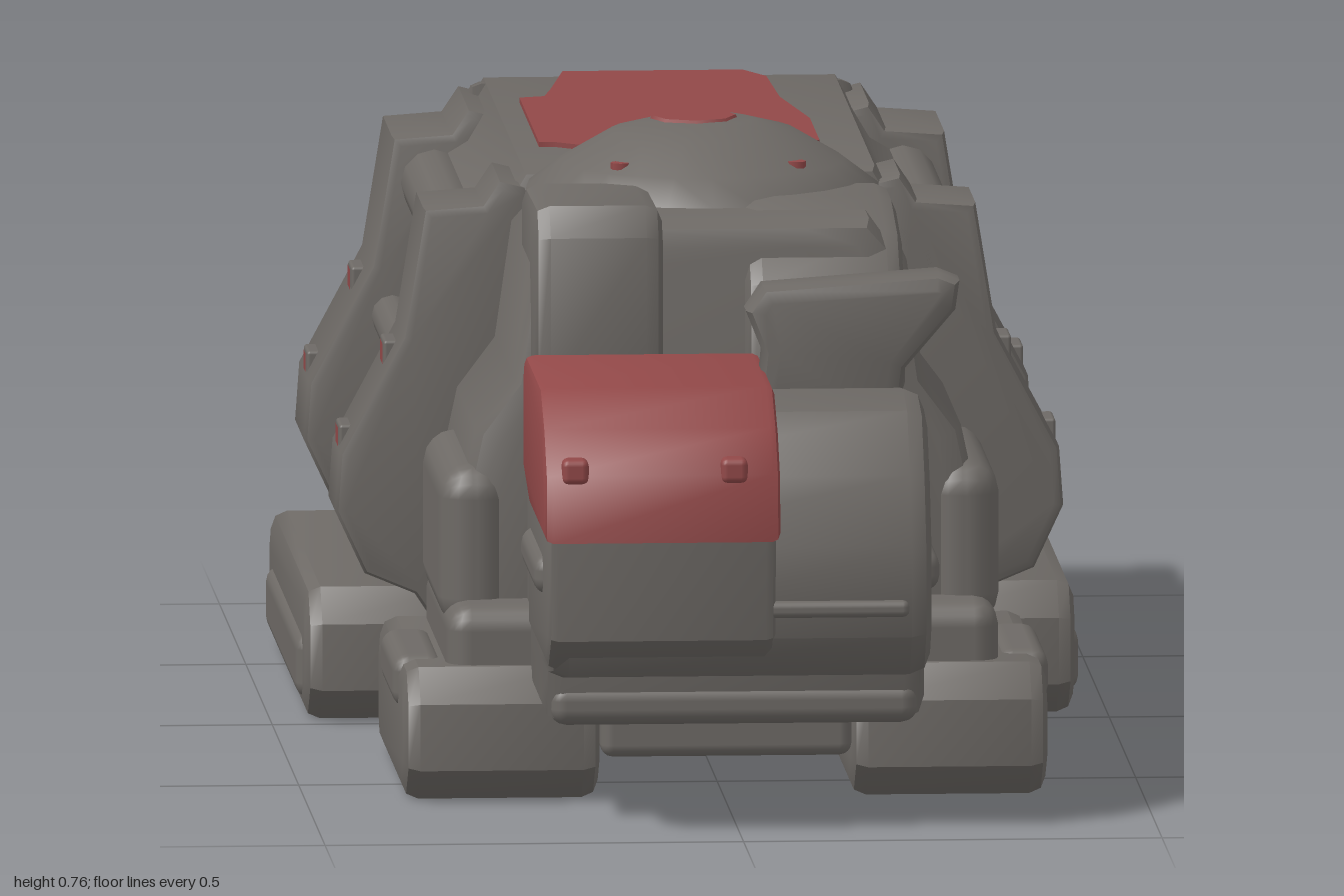
import * as THREE from 'three';
import { toCreasedNormals } from 'three/addons/utils/BufferGeometryUtils.js';
import { RoundedBoxGeometry } from 'three/addons/geometries/RoundedBoxGeometry.js';

const grey = new THREE.MeshStandardMaterial({ color: 0x6d6965 });
grey.name = 'hull grey';
const red = new THREE.MeshStandardMaterial({ color: 0x914848 });
red.name = 'panel red';

// Bevelled extrusion of a point list, from 0 to depth
function prism(points, depth, bevel) {
  const shape = new THREE.Shape(points.map(([a, b]) => new THREE.Vector2(a, b)));
  const g = new THREE.ExtrudeGeometry(shape, {
    depth: depth - 2 * bevel, bevelEnabled: bevel > 0, bevelThickness: bevel,
    bevelSize: bevel, bevelOffset: -bevel, bevelSegments: 2,
  });
  return toCreasedNormals(g.translate(0, 0, bevel), 0.75);
}
// (x, y) section running from z0 to z1
const alongZ = (pts, z0, z1, bevel = 0.02) => prism(pts, z1 - z0, bevel).translate(0, 0, z0);
// (z, y) profile running from x0 to x1
const alongX = (pts, x0, x1, bevel = 0.02) =>
  prism(pts, x1 - x0, bevel).rotateY(-Math.PI / 2).translate(x1, 0, 0);
// Half section mirrored into a closed outline
const mirrored = (half) => [...half, ...half.slice().reverse().map(([x, y]) => [-x, y])];
const lathe = (pts, sides) => new THREE.LatheGeometry(pts.map(([r, y]) => new THREE.Vector2(r, y)), sides);

export function createModel() {
  const model = new THREE.Group();
  model.name = 'crawler';
  const add = (name, geometry, material = grey) => {
    const m = new THREE.Mesh(geometry, material);
    m.name = name;
    model.add(m);
    return m;
  };
  const box = (name, x0, x1, y0, y1, z0, z1, material = grey, r = 0.015) => {
    const radius = Math.min(r, (x1 - x0) / 2.1, (y1 - y0) / 2.1, (z1 - z0) / 2.1);
    const m = add(name, new RoundedBoxGeometry(x1 - x0, y1 - y0, z1 - z0, 2, radius), material);
    m.position.set((x0 + x1) / 2, (y0 + y1) / 2, (z0 + z1) / 2);
    return m;
  };

  // Main hull with ribbed sides
  add('mainHull', alongZ(mirrored([
    [0.12, 0.7], [0.21, 0.7], [0.24, 0.65], [0.29, 0.62], [0.3, 0.57], [0.26, 0.54], [0.26, 0.49],
    [0.32, 0.45], [0.34, 0.38], [0.34, 0.3], [0.3, 0.2], [0.2, 0.12],
  ]), -0.62, 0.17));
  // Front hull
  add('frontHull', alongZ(mirrored([
    [0.1, 0.69], [0.18, 0.69], [0.225, 0.64], [0.245, 0.5], [0.29, 0.44], [0.32, 0.3],
    [0.32, 0.18], [0.26, 0.1], [0.13, 0.065],
  ]), 0.14, 0.55, 0.03));
  add('frontBlockRight', alongX([[0.35, 0.5], [0.6, 0.5], [0.6, 0.68], [0.57, 0.715], [0.35, 0.71]], -0.225, -0.07));
  add('frontBlockLeft', alongX([[0.3, 0.48], [0.59, 0.48], [0.58, 0.62], [0.52, 0.675], [0.4, 0.7], [0.3, 0.7]], 0.03, 0.22));
  box('chin', -0.15, 0.15, 0.065, 0.2, 0.5, 0.68);

  // Rear hull: ribbed upper part and a belly that rises at the tail
  add('rearHull', alongZ(mirrored([
    [0.1, 0.605], [0.2, 0.6], [0.255, 0.57], [0.275, 0.52], [0.26, 0.49], [0.285, 0.46], [0.29, 0.4],
    [0.26, 0.37], [0.285, 0.33], [0.27, 0.25], [0.22, 0.22],
  ]), -0.965, -0.55, 0.025));
  add('rearBelly', alongX([[-0.5, 0.3], [-0.5, 0.11], [-0.86, 0.11], [-0.9, 0.16], [-0.92, 0.23], [-0.95, 0.3]],
    -0.25, 0.25, 0.04));
  add('rearRoofSlope', alongX([[-0.55, 0.5], [-0.55, 0.7], [-0.6, 0.695], [-0.7, 0.61], [-0.7, 0.5]], -0.23, 0.23, 0.015));
  // Tail nozzles with open centres
  const nozzle = [[0.115, -0.07], [0.112, 0.025], [0.09, 0.055], [0.06, 0.05], [0.045, -0.02], [0, -0.02]];
  for (const s of [-1, 1]) {
    add('tailNozzle', lathe(nozzle, 20).rotateX(-Math.PI / 2)).position.set(s * 0.178, 0.375, -0.945);
    box('tailRib', s * 0.235 - 0.03, s * 0.235 + 0.03, 0.5, 0.59, -0.98, -0.62, grey, 0.025);
  }

  // Dome with hatch and rivets
  add('dome', lathe([[0.215, 0.66], [0.21, 0.69], [0.17, 0.72], [0.11, 0.755], [0.06, 0.768], [0, 0.77]], 24))
    .position.z = 0.22;
  add('domeHatch', new THREE.CylinderGeometry(0.05, 0.052, 0.004, 8), red).position.set(-0.01, 0.77, 0.215);
  for (const sx of [-1, 1]) for (const sz of [-1, 1]) {
    add('domeRivet', new THREE.CylinderGeometry(0.012, 0.012, 0.008, 8), red)
      .position.set(sx * 0.105, 0.728, 0.22 + sz * 0.11);
  }

  // Red roof panel, tapering and sloping down at the rear
  add('roofPanel', prism([[-0.16, 0.02], [-0.12, -0.015], [0.11, -0.015], [0.155, 0.02], [0.155, 0.2], [0.13, 0.38],
    [0.125, 0.55], [0.1, 0.605], [-0.115, 0.605], [-0.14, 0.45], [-0.15, 0.4], [-0.18, 0.39], [-0.18, 0.02]],
  0.008, 0).rotateX(-Math.PI / 2).translate(0, 0.698, 0), red);
  const slope = box('roofPanelSlope', -0.115, 0.095, 0, 0.008, -0.06, 0.06, red, 0.003);
  slope.rotation.x = -0.71;
  slope.position.set(-0.01, 0.661, -0.642);

  // Side brackets with boxed lamps facing outward
  const bracket = [[0.2, 0.68], [0.24, 0.69], [0.26, 0.66], [0.33, 0.655], [0.355, 0.5], [0.43, 0.36],
    [0.435, 0.29], [0.4, 0.215], [0.34, 0.19], [0.3, 0.13], [0.2, 0.13]];
  for (const s of [-1, 1]) {
    for (const [z0, z1] of [[0.02, 0.17], [-0.61, -0.42]]) {
      add('sideBracket', alongZ(bracket.map(([x, y]) => [s * x, y]), z0, z1, 0.012));
      const z = (z0 + z1) / 2;
      for (const [x, y] of [[0.375, 0.468], [0.428, 0.367]]) {
        box('lampHousing', s * x - 0.02 - s * 0.02, s * x + 0.02 - s * 0.02, y - 0.022, y + 0.022, z - 0.032, z + 0.032, grey, 0.004);
        add('bracketLamp', new THREE.PlaneGeometry(0.045, 0.035).rotateY(s * Math.PI / 2), red)
          .position.set(s * (x + 0.001), y, z);
      }
    }
    // Pipes between the brackets
    for (const [x, y, r] of [[0.28, 0.6, 0.04], [0.33, 0.44, 0.025], [0.345, 0.33, 0.03]]) {
      const pipe = add('sidePipe', new THREE.CylinderGeometry(r, r, 0.46, 12).rotateX(Math.PI / 2));
      pipe.position.set(s * x, y, -0.2);
    }
  }

  // Track units
  const track = (a, b) => [[a, 0.05], [a, 0.13], [a - 0.04, 0.17], [b + 0.04, 0.17], [b, 0.13],
    [b, 0.04], [b + 0.03, 0.01], [a - 0.05, 0.01]];
  for (const s of [-1, 1]) {
    const span = (x0, x1) => (s > 0 ? [x0, x1] : [-x1, -x0]);
    add('rearTrack', alongX(track(0.0, -0.71), ...span(0.25, 0.46)));
    add('frontTrack', alongX(track(0.67, 0.17), ...span(0.15, 0.385)));
    box('rearTrackGuard', ...span(0.42, 0.468), 0.03, 0.11, -0.65, -0.06, grey, 0.02);
    box('frontTrackGuard', ...span(0.33, 0.392), 0.11, 0.175, 0.33, 0.57, grey, 0.02);
    box('rearTrackMount', ...span(0.2, 0.36), 0.12, 0.24, -0.62, -0.05, grey, 0.03);
    box('frontTrackMount', ...span(0.18, 0.33), 0.12, 0.24, 0.2, 0.62, grey, 0.03);
    box('sidePod', ...span(0.25, 0.335), 0.2, 0.4, 0.2, 0.56, grey, 0.04);
    box('cabSideRail', ...span(0.2, 0.243), 0.29, 0.34, 0.62, 0.88, grey, 0.02);
  }

  // Cab with a red hood over its right half
  add('cabBody', alongX([[0.5, 0.13], [0.82, 0.13], [0.83, 0.185], [0.93, 0.2], [0.97, 0.25], [0.97, 0.36],
    [0.935, 0.44], [0.88, 0.51], [0.8, 0.525], [0.72, 0.515], [0.66, 0.46], [0.5, 0.44]], -0.23, 0.228, 0.025));
  add('cabNose', alongX([[0.6, 0.21], [0.93, 0.21], [0.982, 0.25], [0.99, 0.38], [0.6, 0.38]], -0.232, 0.04, 0.012));
  add('cabHood', alongX([[0.58, 0.4], [0.7, 0.37], [0.995, 0.37], [0.987, 0.45], [0.94, 0.5], [0.87, 0.54],
    [0.6, 0.54], [0.575, 0.51]], -0.237, 0.045, 0.01), red);
  for (const x of [-0.2, -0.01]) box('cabLamp', x - 0.016, x + 0.016, 0.44, 0.47, 0.96, 0.993, red, 0.008);
  add('cabRearPanel', alongX([[0.63, 0.44], [0.67, 0.48], [0.65, 0.525], [0.57, 0.485], [0.565, 0.44]], 0.03, 0.185, 0.008), red);
  box('bumper', -0.22, 0.22, 0.125, 0.175, 0.7, 0.83, grey, 0.02);
  box('cabSlotLid', 0.03, 0.2, 0.275, 0.295, 0.93, 0.98, grey, 0.008);

  // Mast with sideways arm
  add('mast', alongZ([[0.03, 0.46], [0.2, 0.46], [0.21, 0.54], [0.27, 0.61], [0.275, 0.645], [0.25, 0.655],
    [0.04, 0.64], [0.02, 0.61], [0.04, 0.56]], 0.67, 0.75));
  return model;
}
